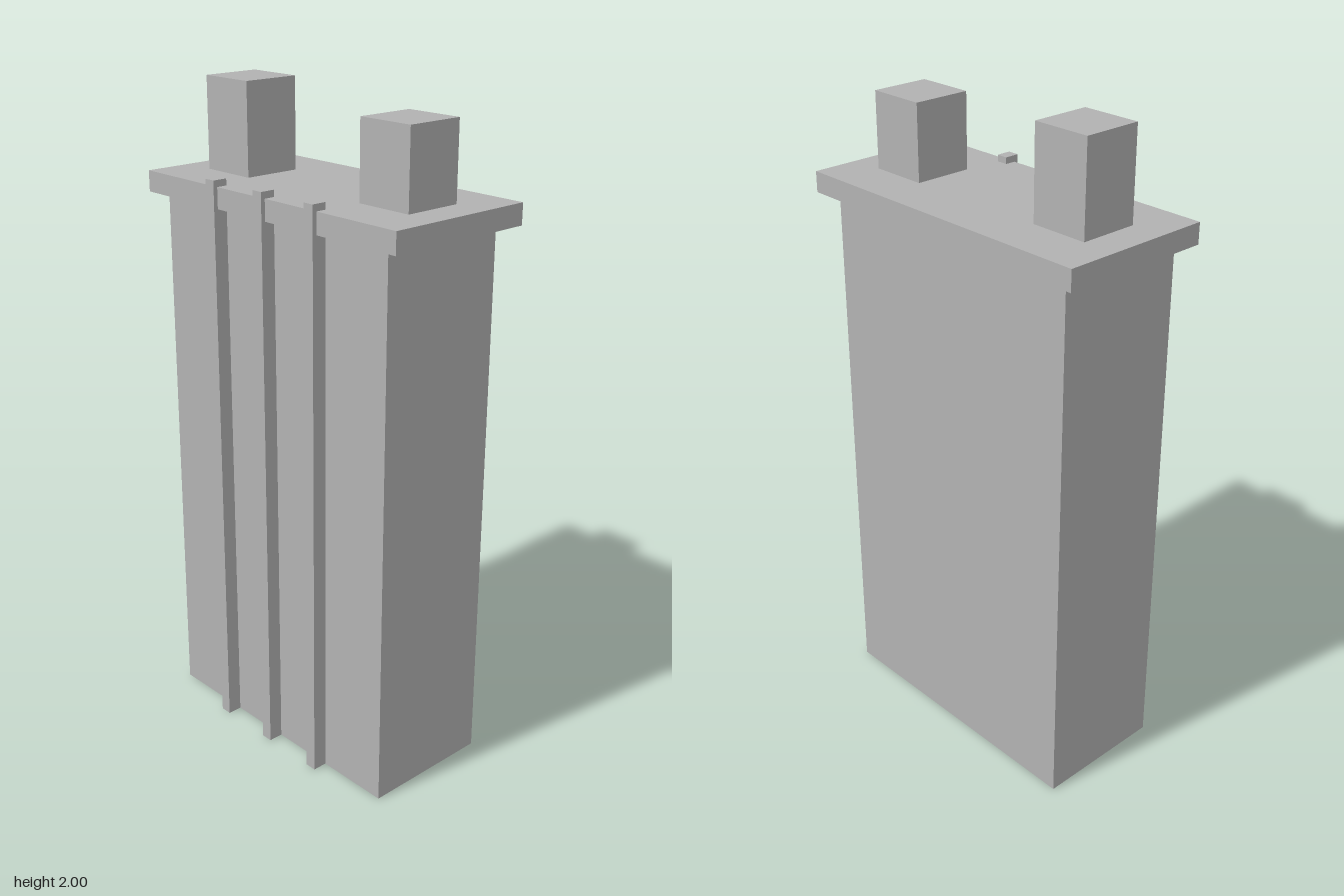
import * as THREE from 'three';

const grey = new THREE.MeshStandardMaterial({ color: 0xb2b2b2 });
grey.name = 'grey';

// Box given by its extents along each axis
function block(name, [x0, x1], [y0, y1], [z0, z1]) {
  const mesh = new THREE.Mesh(new THREE.BoxGeometry(x1 - x0, y1 - y0, z1 - z0), grey);
  mesh.position.set((x0 + x1) / 2, (y0 + y1) / 2, (z0 + z1) / 2);
  mesh.name = name;
  return mesh;
}

export function createModel() {
  const model = new THREE.Group();
  model.name = 'tower';

  // Main tower and its overhanging roof slab
  model.add(block('body', [-0.461, 0.457], [0, 1.664], [-0.208, 0.202]));
  model.add(block('roofSlab', [-0.515, 0.515], [1.664, 1.727], [-0.246, 0.234]));

  // Three full-height ribs on the front that poke through the slab
  const ribs = new THREE.Group();
  ribs.name = 'frontRibs';
  for (const x of [-0.207, -0.001, 0.206]) {
    ribs.add(block('frontRib', [x - 0.018, x + 0.018], [0, 1.747], [0.201, 0.247]));
  }
  model.add(ribs);

  // Two rooftop blocks of unequal height
  model.add(block('rightRoofBlock', [-0.412, -0.23], [1.727, 2], [-0.095, 0.087]));
  model.add(block('leftRoofBlock', [0.229, 0.411], [1.727, 1.955], [-0.098, 0.084]));

  return model;
}
